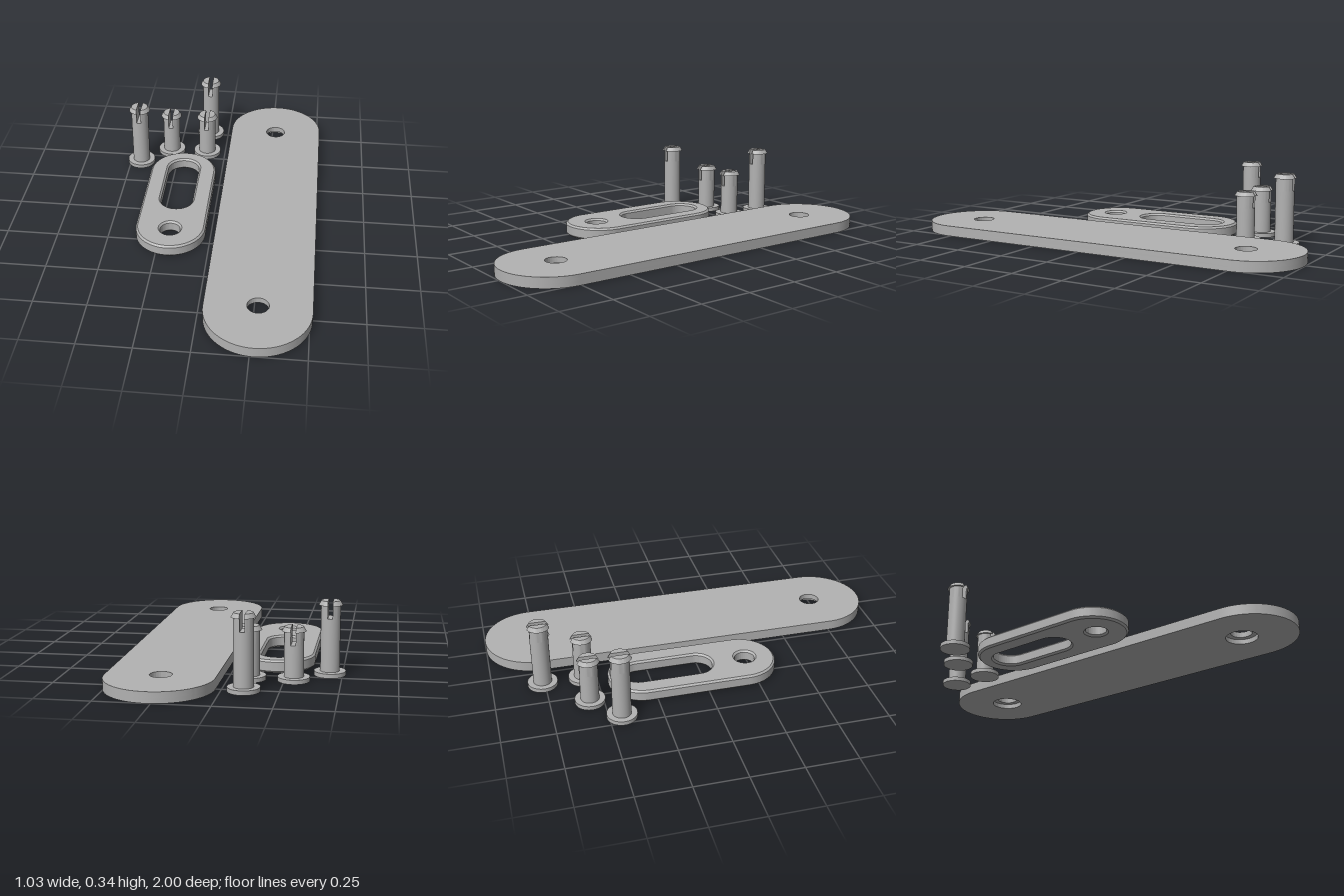
import * as THREE from 'three';
import { toCreasedNormals } from 'three/addons/utils/BufferGeometryUtils.js';

const grey = new THREE.MeshStandardMaterial({ color: 0xb2b2b2 });
grey.name = 'plain grey';

function addMesh(parent, name, geometry, y = 0) {
  const mesh = new THREE.Mesh(geometry, grey);
  mesh.name = name;
  mesh.position.y = y;
  parent.add(mesh);
  return mesh;
}

// Rounded slot outline between two z values; equal values give a circle
function slot(PathType, r, zBack, zFront) {
  const p = new PathType();
  p.absarc(0, -zBack, r, 0, Math.PI);
  p.absarc(0, -zFront, r, Math.PI, Math.PI * 2);
  return p;
}

// Flat-lying plate with holes and an optional chamfer on every edge
function plate(outline, holes, height, chamfer = 0) {
  outline.holes = holes;
  const geo = new THREE.ExtrudeGeometry(outline, {
    depth: height - 2 * chamfer,
    bevelEnabled: chamfer > 0,
    bevelThickness: chamfer,
    bevelSize: chamfer,
    bevelOffset: -chamfer,
    bevelSegments: 1,
    curveSegments: 32,
  });
  geo.translate(0, 0, chamfer);
  geo.rotateX(-Math.PI / 2);
  return toCreasedNormals(geo, 0.5);
}

// One prong of a split pin: D-shaped sections stacked along y
function prong(levels, gap) {
  const n = 24, pos = [], idx = [];
  for (const [y, r] of levels) {
    const a = Math.acos(gap / r);
    for (let i = 0; i <= n; i++) {
      const t = -a + (2 * a * i) / n;
      pos.push(r * Math.cos(t), y, -r * Math.sin(t));
    }
  }
  const row = n + 1;
  for (let l = 0; l < levels.length - 1; l++) {
    for (let i = 0; i < row; i++) {
      const a = l * row + i, b = l * row + ((i + 1) % row);
      idx.push(a, b, b + row, a, b + row, a + row);
    }
  }
  const top = (levels.length - 1) * row;
  for (let i = 1; i < n; i++) idx.push(top, top + i, top + i + 1);
  const geo = new THREE.BufferGeometry();
  geo.setAttribute('position', new THREE.Float32BufferAttribute(pos, 3));
  geo.setIndex(idx);
  geo.computeVertexNormals();
  return toCreasedNormals(geo, 0.5);
}

// Pin with a flat foot, round shaft and split snap head
function pin(height) {
  const g = new THREE.Group();
  const foot = 0.02, r = 0.044, floor = height - 0.078, lip = height - 0.02;
  addMesh(g, 'pinFoot', new THREE.CylinderGeometry(0.072, 0.072, foot, 48), foot / 2);
  addMesh(g, 'pinShaft', new THREE.CylinderGeometry(r, r, floor - foot, 48), (floor + foot) / 2);
  const half = prong([[floor, r], [lip, r], [lip, 0.054], [height, 0.042]], 0.011);
  addMesh(g, 'leftProng', half);
  addMesh(g, 'rightProng', half).rotation.y = Math.PI;
  return g;
}

export function createModel() {
  const model = new THREE.Group();
  model.name = 'linkAndPinSet';

  // Long plate: lower layer has wider recesses for the pin feet
  const long = new THREE.Group();
  long.name = 'longPlate';
  long.position.x = 0.269;
  const layer = (r, h) => plate(slot(THREE.Shape, 0.244, -0.756, 0.756),
    [-0.73, 0.73].map(z => slot(THREE.Path, r, z, z)), h);
  addMesh(long, 'recessedLayer', layer(0.076, 0.023));
  addMesh(long, 'upperLayer', layer(0.05, 0.027), 0.023);
  model.add(long);

  // Short chamfered link with a long slot and a round hole
  const link = addMesh(model, 'slottedLink', plate(
    slot(THREE.Shape, 0.17, -0.287, 0.2),
    [slot(THREE.Path, 0.081, -0.306, -0.026), slot(THREE.Path, 0.049, 0.222, 0.222)],
    0.06, 0.009));
  link.position.x = -0.195;

  // Pins: x, z, height
  [[-0.097, -0.76, 0.342], [-0.443, -0.44, 0.342],
    [-0.097, -0.563, 0.245], [-0.292, -0.563, 0.245]].forEach(([x, z, h]) => {
    const p = pin(h);
    p.name = h > 0.3 ? 'tallPin' : 'shortPin';
    p.position.set(x, 0, z);
    model.add(p);
  });

  return model;
}
